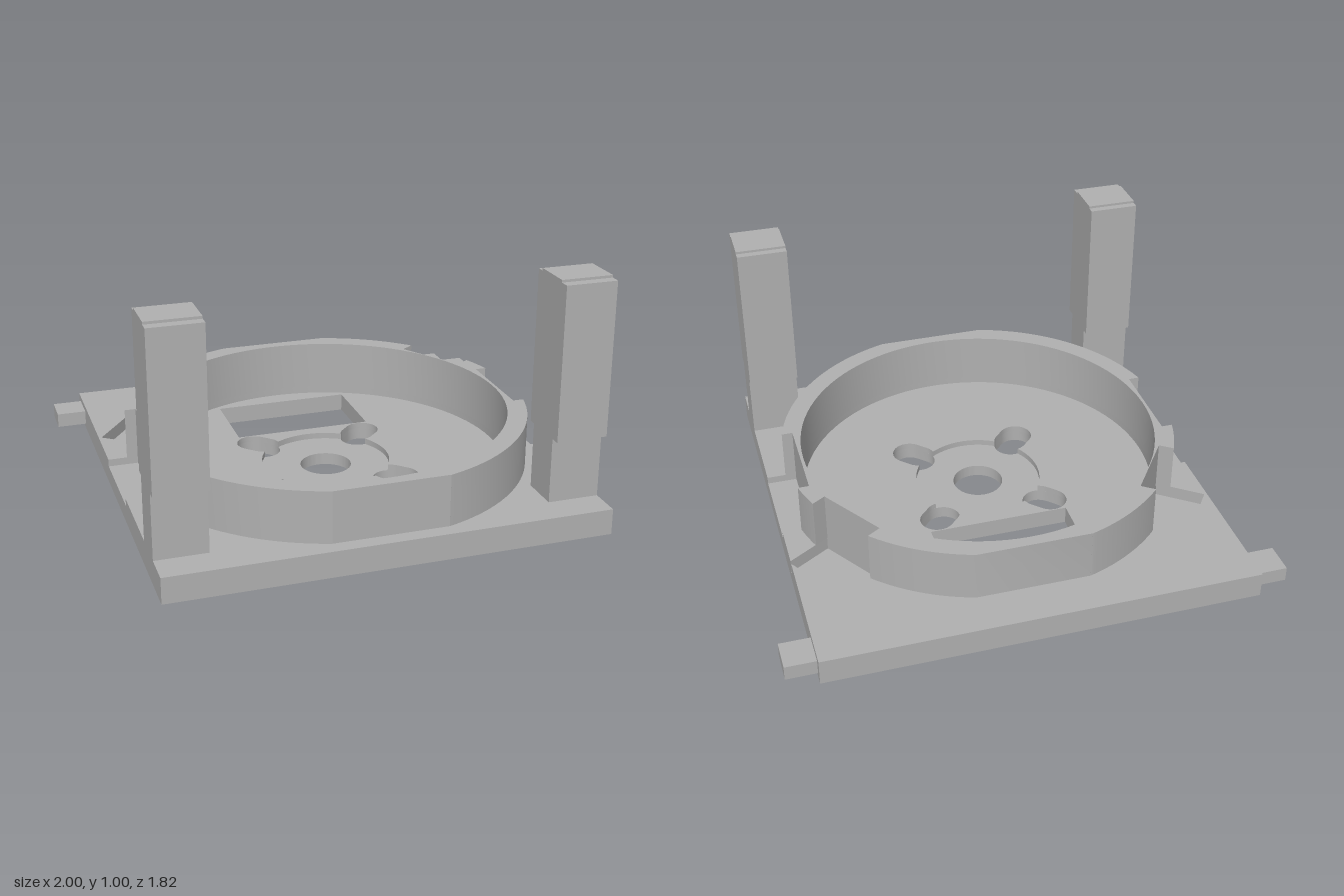
import * as THREE from 'three';
import { toCreasedNormals } from 'three/addons/utils/BufferGeometryUtils.js';

const CENTRE_Z = 0.06; // axis of the round cup
const R_OUT = 0.823, R_IN = 0.743, R_HUB = 0.265;
const P = (x, y) => new THREE.Vector2(x, y);

// points along an arc
function arc(cx, cy, r, a0, a1, n) {
  const pts = [];
  for (let i = 0; i <= n; i++) {
    const a = a0 + (a1 - a0) * i / n;
    pts.push(P(cx + r * Math.cos(a), cy + r * Math.sin(a)));
  }
  return pts;
}
const circle = (r) => arc(0, 0, r, 0, Math.PI * 2, 96).slice(0, -1);
const turn = (pts, a) => pts.map((p) => p.clone().rotateAround(P(0, 0), a));

// upright slab from a plan outline (plan y points to the back)
function slab(outline, holes, y0, y1) {
  const shape = new THREE.Shape(outline);
  shape.holes = holes.map((h) => new THREE.Path(h));
  const geo = new THREE.ExtrudeGeometry(shape, { depth: y1 - y0, bevelEnabled: false });
  geo.rotateX(-Math.PI / 2);
  geo.translate(0, y0, CENTRE_Z);
  return toCreasedNormals(geo, 0.3);
}

// cup wall outline: a circle with flats and notches [angle, distance, half width]
function ringOutline() {
  const deg = Math.PI / 180;
  const cuts = [[0, 0.755, 0.193], [32.9 * deg, 0.746, 0.152], [90 * deg, 0.79, 0.23],
    [143.9 * deg, 0.746, 0.149], [180 * deg, 0.755, 0.193], [270 * deg, 0.79, 0.23]];
  const pts = [];
  cuts.forEach(([a, d, h], i) => {
    const next = cuts[(i + 1) % cuts.length];
    const end = next[0] + (i === cuts.length - 1 ? Math.PI * 2 : 0);
    pts.push(...turn([P(d, -h), P(d, h)], a));
    pts.push(...arc(0, 0, R_OUT, a + Math.asin(h / R_OUT), end - Math.asin(next[2] / R_OUT), 20));
  });
  return pts;
}

// diagonal slot, drawn along +x and then turned
const S1 = 0.297, S2 = 0.3465, SR = 0.07, Q = Math.PI / 2;
const diagonals = [0, 1, 2, 3].map((i) => Math.PI / 4 + i * Q);
const slot = (a) => turn([...arc(S2, 0, SR, -Q, Q, 16), ...arc(S1, 0, SR, Q, 3 * Q, 16)], a);

// hub recess merged with the four slots
function hubOutline() {
  const phi = Math.acos((R_HUB ** 2 + S1 ** 2 - SR ** 2) / (2 * R_HUB * S1));
  const b = Math.atan2(R_HUB * Math.sin(phi), R_HUB * Math.cos(phi) - S1);
  return diagonals.flatMap((a) => [
    ...turn([...arc(S1, 0, SR, -b, -Q, 5), ...arc(S2, 0, SR, -Q, Q, 16), ...arc(S1, 0, SR, Q, b, 5)], a),
    ...arc(0, 0, R_HUB, a + phi, a + Q - phi, 14).slice(1, -1),
  ]);
}

// base outline, optionally with the side slots and the angled pocket that breaks the edge
function plateOutline(sideSlots, pocket) {
  const W = 0.877, D = 0.755, H = 0.193;
  const pts = [P(-W, -0.85), P(W, -0.85)];
  if (sideSlots) pts.push(P(W, -H), P(D, -H), P(D, H), P(W, H));
  if (pocket) pts.push(P(W, 0.38), P(0.71, 0.275), P(0.545, 0.53), P(0.72, 0.64), P(W, 0.396));
  pts.push(P(W, 0.97), P(-W, 0.97));
  if (sideSlots) pts.push(P(-W, H), P(-D, H), P(-D, -H), P(-W, -H));
  return pts;
}

export function createModel() {
  const model = new THREE.Group();
  const grey = new THREE.MeshStandardMaterial({ color: 0xb0b0b0 });
  grey.name = 'grey';
  const add = (name, geo, parent = model) => {
    const mesh = new THREE.Mesh(geo, grey);
    mesh.name = name;
    parent.add(mesh);
    return mesh;
  };
  const box = (name, x0, x1, y0, y1, z0, z1, parent) => {
    const geo = new THREE.BoxGeometry(x1 - x0, y1 - y0, z1 - z0);
    geo.translate((x0 + x1) / 2, (y0 + y1) / 2, (z0 + z1) / 2);
    return add(name, geo, parent);
  };

  // base in three layers: floor, hub recess, cup recess
  const windowHole = [P(-0.29, 0.319), P(0.29, 0.319), P(0.29, 0.66), P(-0.29, 0.66)];
  const leftPocket = [P(-0.69, 0.67), P(-0.525, 0.545), P(-0.70, 0.305), P(-0.865, 0.43)];
  const base = new THREE.Group();
  base.name = 'base';
  model.add(base);
  add('baseFloor', slab(plateOutline(false, false),
    [circle(0.105), windowHole, ...diagonals.map(slot)], 0, 0.05), base);
  add('baseMiddle', slab(plateOutline(false, true),
    [hubOutline(), windowHole, leftPocket], 0.05, 0.075), base);
  add('baseTop', slab(plateOutline(true, true), [circle(R_IN), leftPocket], 0.075, 0.105), base);

  // round cup wall
  add('cupWall', slab(ringOutline(), [circle(R_IN)], 0.105, 0.315));

  // front posts and rear side tabs
  for (const [side, s] of [['left', 1], ['right', -1]]) {
    const span = (a, b) => (s > 0 ? [a, b] : [-b, -a]);
    const post = new THREE.Group();
    post.name = side + 'Post';
    model.add(post);
    box('postStem', ...span(0.67, 0.877), 0.105, 0.37, 0.62, 0.78, post);
    box('postHead', ...span(0.67, 0.877), 0.37, 0.99, 0.59, 0.82, post);
    box('postCap', ...span(0.67, 0.877), 0.99, 1.0, 0.62, 0.78, post);
    box(side + 'Tab', ...span(0.877, 1), 0.02, 0.08, -0.875, -0.745);
  }
  return model;
}
